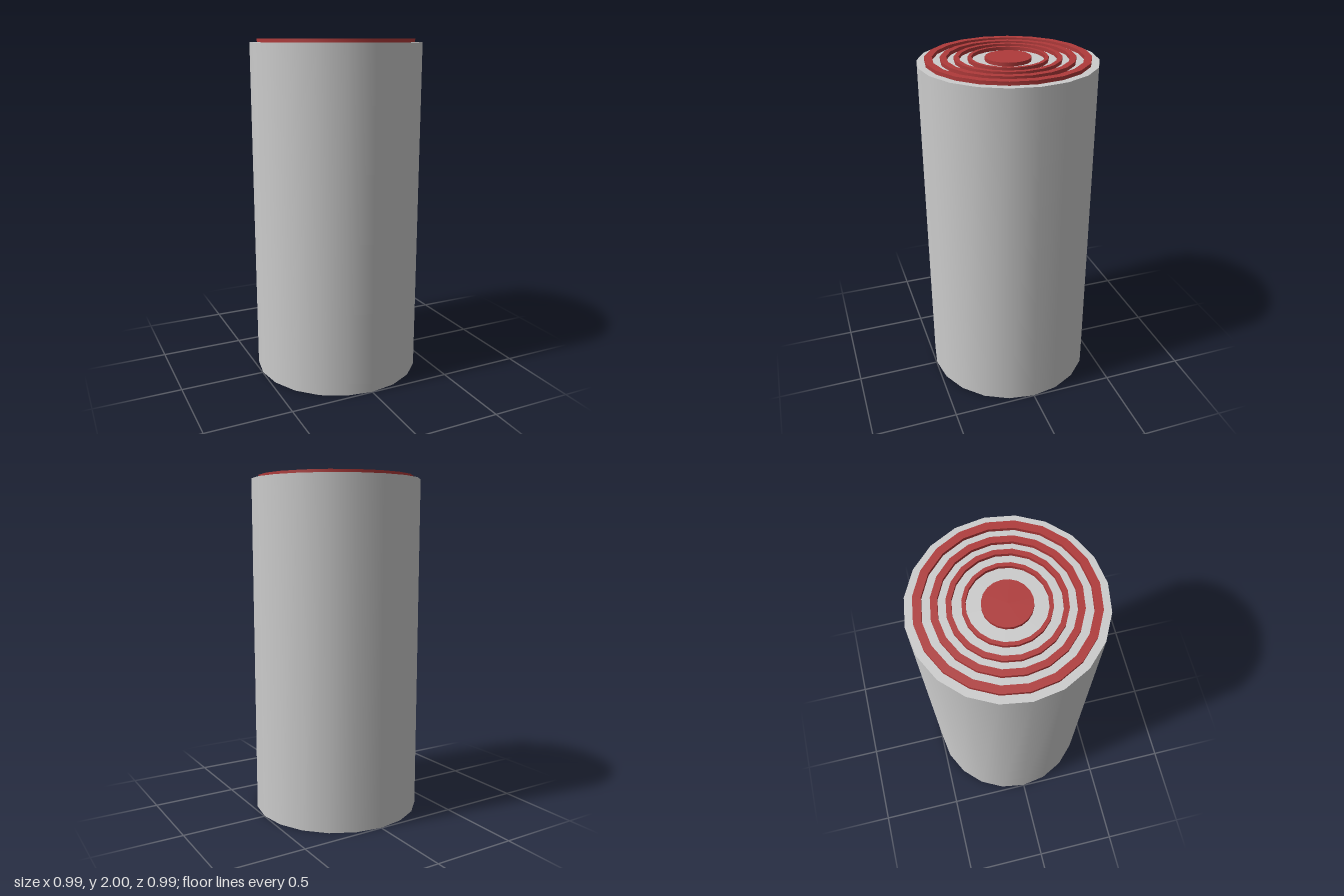
import * as THREE from 'three';
import { toCreasedNormals } from 'three/addons/utils/BufferGeometryUtils.js';

const SIDES = 20;
const BODY_TOP = 1.98;
const TOP = 2;

export function createModel() {
  const model = new THREE.Group();
  const grey = new THREE.MeshStandardMaterial({ color: 0xcccccc });
  const red = new THREE.MeshStandardMaterial({ color: 0xaf3a3a });

  const add = (name, geometry, material, y = 0) => {
    const mesh = new THREE.Mesh(geometry, material);
    mesh.name = name;
    mesh.position.y = y;
    model.add(mesh);
  };

  // Tall column
  add('column', new THREE.CylinderGeometry(0.497, 0.497, BODY_TOP, SIDES), grey, BODY_TOP / 2);

  // Raised concentric rings on the top face: [outer radius, inner radius]
  const rings = [[0.455, 0.413], [0.37, 0.335], [0.295, 0.268], [0.22, 0.2]];
  rings.forEach(([outer, inner], i) => {
    const profile = [
      [outer, BODY_TOP], [outer, TOP], [inner, TOP], [inner, BODY_TOP],
    ].map(([r, y]) => new THREE.Vector2(r, y));
    const ring = toCreasedNormals(new THREE.LatheGeometry(profile, SIDES), Math.PI / 6);
    add(`ring${i + 1}`, ring, red);
  });

  // Raised disc in the middle
  const height = TOP - BODY_TOP;
  add('centreDisc', new THREE.CylinderGeometry(0.127, 0.127, height, SIDES), red, BODY_TOP + height / 2);

  return model;
}
